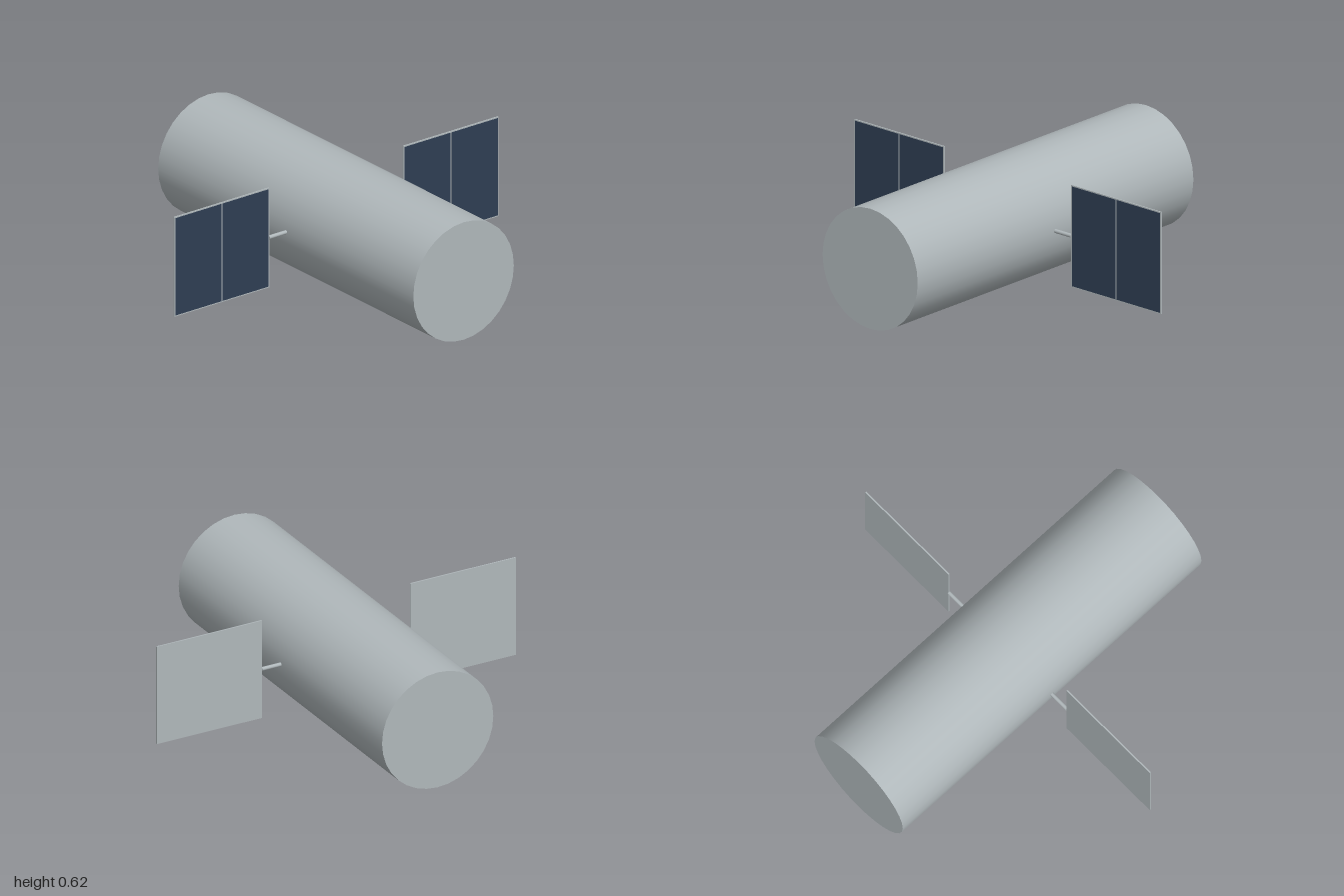
import * as THREE from 'three';

export function createModel() {
  const model = new THREE.Group();
  model.name = 'satellite';

  const hull = new THREE.MeshStandardMaterial({ color: 0xb0b8bb });
  hull.name = 'hull grey';
  const solar = new THREE.MeshStandardMaterial({ color: 0x2f3e53 });
  solar.name = 'solar blue';

  const R = 0.31;
  const add = (parent, name, geometry, material, x, y, z) => {
    const mesh = new THREE.Mesh(geometry, material);
    mesh.name = name;
    mesh.position.set(x, y, z);
    parent.add(mesh);
    return mesh;
  };

  // Long plain cylinder lying along z
  add(model, 'body', new THREE.CylinderGeometry(R, R, 2, 32).rotateX(Math.PI / 2), hull, 0, R, 0);

  // One wing on each side: boom, backing panel and two cell plates on the front
  for (const side of [-1, 1]) {
    const wing = new THREE.Group();
    wing.name = side > 0 ? 'leftWing' : 'rightWing';
    wing.position.y = 0.3125;
    model.add(wing);

    add(wing, 'boom', new THREE.CylinderGeometry(0.01, 0.01, 0.115, 12).rotateZ(Math.PI / 2),
      hull, side * 0.3575, 0, 0);
    add(wing, 'panel', new THREE.BoxGeometry(0.586, 0.525, 0.007), hull, side * 0.707, 0, 0);
    for (const offset of [-0.1455, 0.1455]) {
      add(wing, 'solarCell', new THREE.BoxGeometry(0.283, 0.513, 0.002), solar,
        side * 0.707 + offset, 0, 0.004);
    }
  }
  return model;
}
